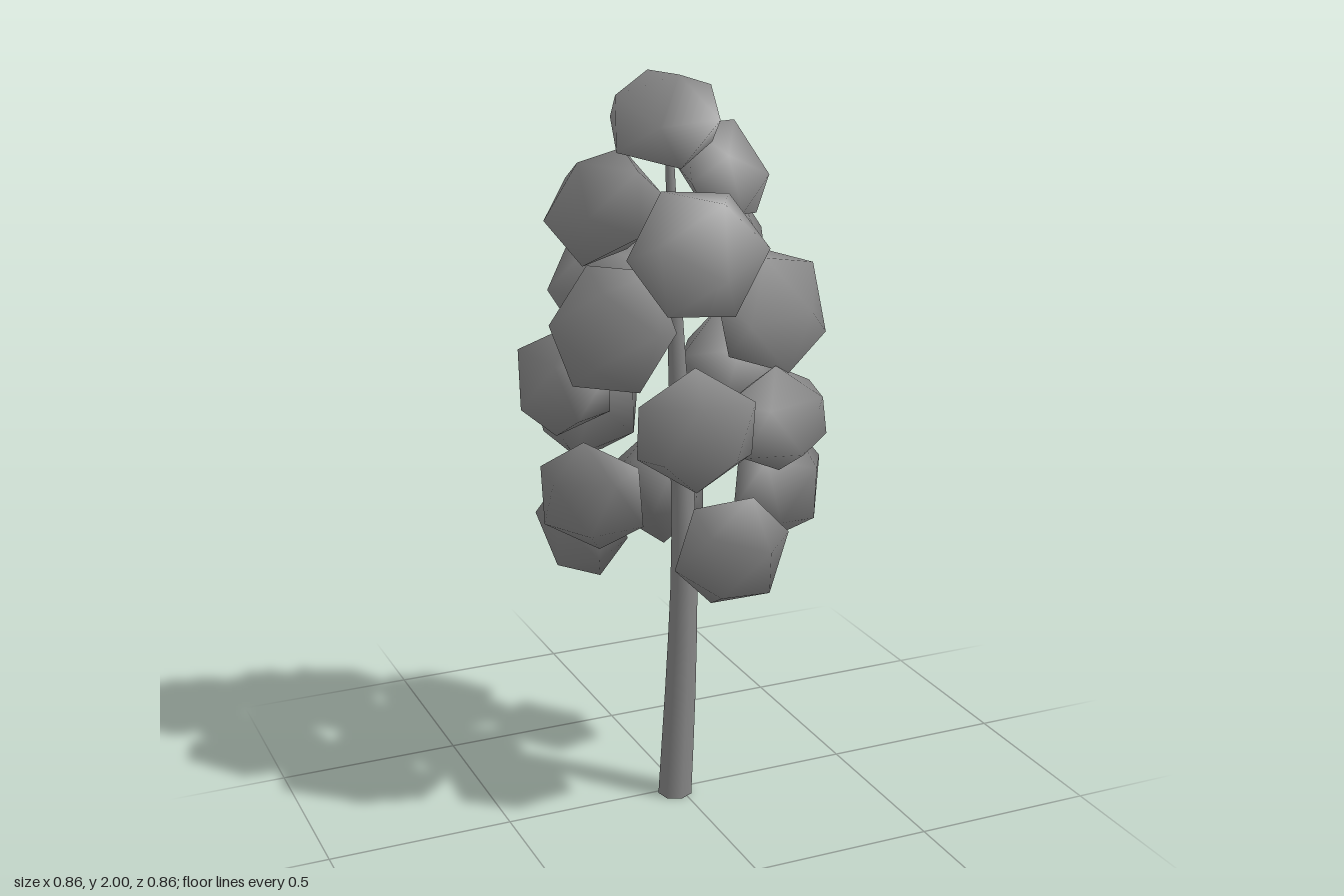
import * as THREE from 'three';
import { mergeVertices } from 'three/addons/utils/BufferGeometryUtils.js';

const V3 = (x, y, z) => new THREE.Vector3(x, y, z);
const UP = V3(0, 1, 0);
const { degToRad } = THREE.MathUtils;

// Low-poly leaf clump: a flattened icosahedron whose six-sided outline faces outwards.
function leafClump(direction, roll) {
  const faceToZ = new THREE.Quaternion().setFromUnitVectors(V3(1, 1, 1).normalize(), V3(0, 0, 1));
  let leaf = new THREE.IcosahedronGeometry(1, 0);
  leaf.deleteAttribute('uv');
  leaf.deleteAttribute('normal');
  leaf = mergeVertices(leaf, 1e-3);
  leaf.applyQuaternion(faceToZ);
  leaf.rotateZ(roll);
  leaf.scale(1, 1, 0.78);
  const side = UP.clone().cross(direction).normalize();
  const rise = direction.clone().cross(side);
  leaf.applyMatrix4(new THREE.Matrix4().makeBasis(side, rise, direction));
  return leaf;
}

// Gives a clump its own centre and size.
function fitTo(geometry, centre, size) {
  geometry.center();
  const now = geometry.boundingBox.getSize(V3());
  geometry.scale(size.x / now.x, size.y / now.y, size.z / now.z);
  geometry.translate(centre.x, centre.y, centre.z);
  geometry.computeVertexNormals();
  return geometry;
}

// Leans the smooth normals outwards so that each clump shades evenly.
function softenNormals(geometry, direction) {
  const normal = geometry.attributes.normal;
  const n = V3();
  for (let i = 0; i < normal.count; i++) {
    n.fromBufferAttribute(normal, i).addScaledVector(direction, 0.7).normalize();
    normal.setXYZ(i, n.x, n.y, n.z);
  }
  return geometry;
}

// Gently bent trunk that tapers towards the tip.
function trunkGeometry() {
  const curve = new THREE.CatmullRomCurve3([
    V3(-0.02, 0, 0.02), V3(0, 0.35, 0.016), V3(0.012, 0.68, 0.01),
    V3(0.004, 1.02, 0.005), V3(-0.018, 1.4, 0.014), V3(-0.028, 1.82, 0.005),
  ]);
  const rings = 12, sides = 7;
  const tube = new THREE.TubeGeometry(curve, rings, 1, sides);
  const pos = tube.attributes.position;
  const p = V3();
  for (let i = 0; i <= rings; i++) {
    const t = i / rings;
    const c = curve.getPointAt(t);
    const radius = 0.047 - 0.037 * Math.pow(t, 1.25);
    for (let j = 0; j <= sides; j++) {
      const k = i * (sides + 1) + j;
      p.fromBufferAttribute(pos, k).sub(c).multiplyScalar(radius).add(c);
      pos.setXYZ(k, p.x, i === 0 ? 0 : p.y, p.z);
    }
  }
  return tube;
}

export function createModel() {
  const group = new THREE.Group();
  const grey = new THREE.MeshStandardMaterial({ color: 0x888888 });
  grey.name = 'grey';

  const trunk = new THREE.Mesh(trunkGeometry(), grey);
  trunk.name = 'trunk';
  group.add(trunk);

  const base = new THREE.Mesh(new THREE.CircleGeometry(0.045, 7).rotateX(Math.PI / 2), grey);
  base.name = 'trunkBase';
  base.position.set(-0.02, 0.001, 0.02);
  group.add(base);

  // Leaf clumps from top to bottom: centre x, y, z, size x, y, z, then roll and yaw in degrees
  const clumps = [
    [-0.06, 1.885, 0.045, 0.26, 0.23, 0.33, 0, 0],
    [0.125, 1.735, -0.01, 0.22, 0.26, 0.32, 35, -25],
    [-0.17, 1.645, -0.1, 0.3, 0.27, 0.37, 0, 0],
    [-0.055, 1.58, 0.245, 0.34, 0.31, 0.25, 0, 0],
    [0.17, 1.505, -0.165, 0.29, 0.31, 0.23, 0, 0],
    [-0.1, 1.4, -0.27, 0.35, 0.27, 0.25, 0, 0],
    [-0.24, 1.385, 0.14, 0.32, 0.31, 0.25, 0, 0],
    [0.21, 1.385, 0.115, 0.31, 0.31, 0.28, 0, 0],
    [-0.29, 1.2, -0.08, 0.28, 0.3, 0.27, 30, 0],
    [0.245, 1.16, -0.17, 0.3, 0.32, 0.31, 15, 0],
    [-0.09, 1.15, 0.31, 0.3, 0.32, 0.23, 30, 0],
    [0.185, 1.12, 0.21, 0.27, 0.28, 0.31, 30, 0],
    [-0.15, 1.08, -0.275, 0.34, 0.32, 0.31, 10, 0],
    [-0.3, 0.95, 0.13, 0.24, 0.3, 0.26, 30, 0],
    [0.295, 0.865, -0.005, 0.26, 0.34, 0.26, 30, 0],
    [0.06, 0.805, -0.27, 0.24, 0.31, 0.28, 20, -30],
    [-0.24, 0.785, -0.1, 0.23, 0.29, 0.25, 30, 0],
    [0.04, 0.79, 0.25, 0.3, 0.32, 0.31, 20, 0],
  ];
  clumps.forEach(([x, y, z, sx, sy, sz, roll, yaw], i) => {
    // Each clump faces away from the trunk, tilting up near the top and down near the bottom
    const tilt = 1.1 * (y - 1.22);
    const direction = V3(x, 0, z).setLength(Math.cos(tilt)).applyAxisAngle(UP, degToRad(yaw));
    direction.y = Math.sin(tilt);
    const geometry = fitTo(leafClump(direction, degToRad(roll - 7)), V3(x, y, z), V3(sx, sy, sz));
    const leaf = new THREE.Mesh(softenNormals(geometry, direction), grey);
    leaf.name = `leafClump${i + 1}`;
    group.add(leaf);
  });
  return group;
}
